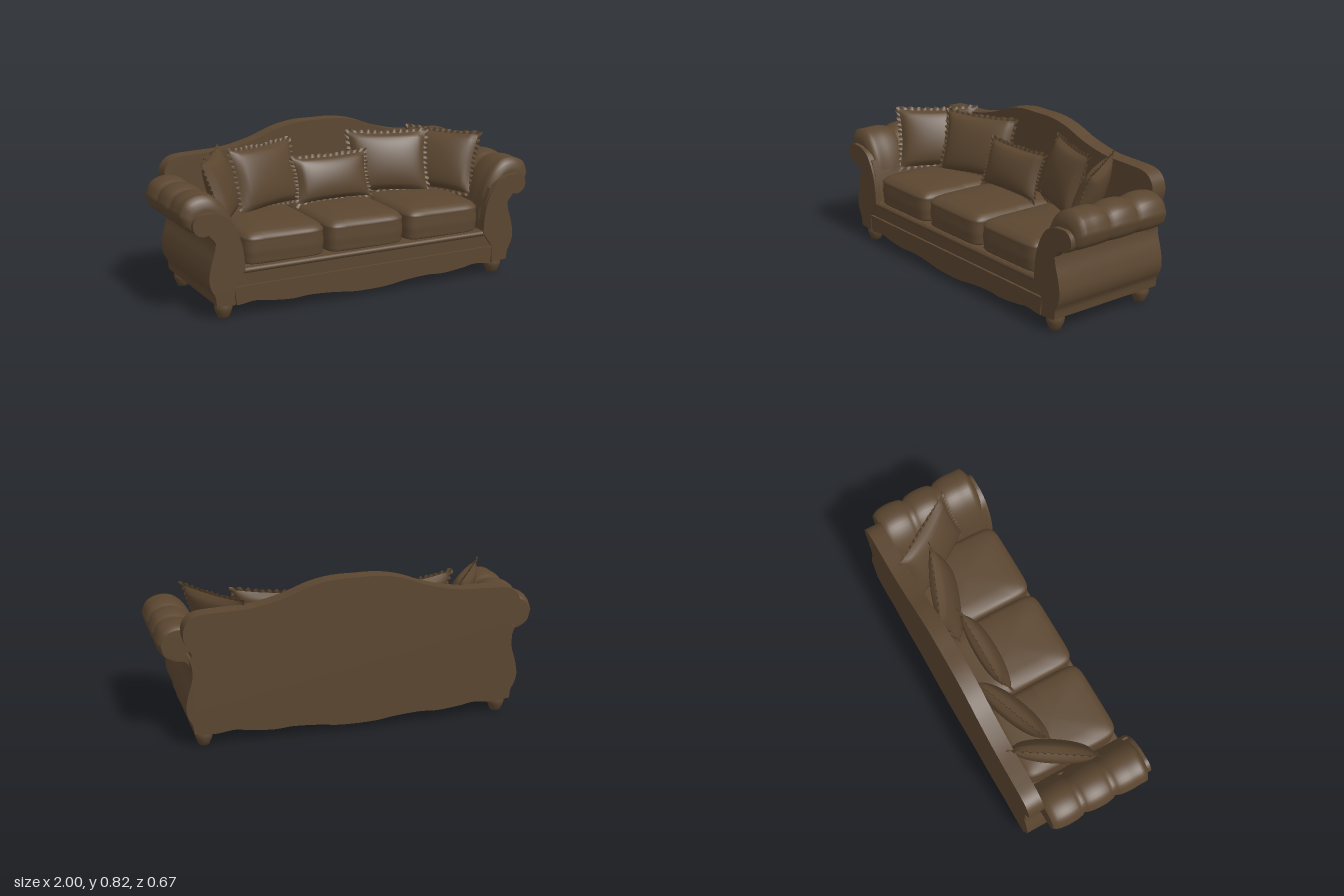
import * as THREE from 'three';
import { mergeVertices, toCreasedNormals } from 'three/addons/utils/BufferGeometryUtils.js';
import { ParametricGeometry } from 'three/addons/geometries/ParametricGeometry.js';

const fabric = new THREE.MeshStandardMaterial({ color: 0x5b4630, side: THREE.DoubleSide });
fabric.name = 'brown fabric';

const V2 = (p) => new THREE.Vector2(p[0], p[1]);

function add(parent, name, geometry) {
  const mesh = new THREE.Mesh(geometry, fabric);
  mesh.name = name;
  parent.add(mesh);
  return mesh;
}

// Smooth surface from a rule, with seams welded
function surface(rule, nu, nv) {
  const g = new ParametricGeometry(rule, nu, nv);
  g.deleteAttribute('uv');
  g.deleteAttribute('normal');
  const welded = mergeVertices(g, 1e-5);
  welded.computeVertexNormals();
  return welded;
}

// Flat shape pushed from z0 to z1, soft along its curves and sharp at its rims
function slab(shape, z0, z1) {
  const g = new THREE.ExtrudeGeometry(shape, { depth: z1 - z0, bevelEnabled: false, curveSegments: 10 });
  g.translate(0, 0, z0);
  return toCreasedNormals(g, 0.6);
}

const spline = (pts, n = 30) => new THREE.SplineCurve(pts.map(V2)).getPoints(n);
const mirrored = (pts) => pts.map((p) => new THREE.Vector2(-p.x, p.y)).reverse();

// Scalloped lower edge (centre to right) and the curved outer side (bottom to top)
const hem = spline([[0, 0.035], [0.1, 0.038], [0.21, 0.052], [0.34, 0.06], [0.44, 0.055],
  [0.56, 0.066], [0.64, 0.078], [0.74, 0.068], [0.84, 0.078]], 40);
const flank = spline([[0.845, 0.08], [0.85, 0.125], [0.872, 0.17], [0.88, 0.22], [0.868, 0.29],
  [0.847, 0.36], [0.842, 0.42], [0.86, 0.48]]);

function bodyShape() {
  const inner = [[0.74, 0.48], [0.71, 0.4], [0.695, 0.25]].map(V2);
  const half = [...hem, ...flank, ...inner];
  return new THREE.Shape([...half, ...mirrored(half).slice(0, -1)]);
}

function apronShape() {
  const half = [...hem.filter((p) => p.x < 0.76), V2([0.75, 0.16])];
  return new THREE.Shape([...half, ...mirrored(half).slice(0, -1)]);
}

// Camel-shaped back with rounded shoulders; inset makes the inner border
function backPoints(inset) {
  const top = spline([[0.845, 0.505], [0.868, 0.54], [0.882, 0.6], [0.865, 0.66], [0.81, 0.695], [0.7, 0.703],
    [0.54, 0.71], [0.38, 0.745], [0.24, 0.795], [0.12, 0.818], [0, 0.82]], 50);
  const half = [V2([0.84, 0.2]), ...top].map((p) => new THREE.Vector2(p.x * (1 - inset), p.y - inset * 0.8));
  return [...half, ...mirrored(half).slice(1)];
}

// Front face of an arm, ending in a scroll
function armFrontShape(side) {
  const scroll = [];
  for (let i = 0; i <= 16; i++) {
    const a = -2.0 + i * (Math.PI / 16) * 1.2;
    scroll.push(new THREE.Vector2(0.9 + 0.055 * Math.cos(a), 0.49 + 0.055 * Math.sin(a)));
  }
  const inner = spline([[0.84, 0.542], [0.775, 0.51], [0.725, 0.43], [0.7, 0.34], [0.692, 0.24]], 16);
  const pts = [V2([0.75, 0.07]), V2([0.845, 0.078]), ...flank.slice(1, 25), ...scroll, ...inner, V2([0.75, 0.16])];
  return new THREE.Shape(pts.map((p) => new THREE.Vector2(p.x * side, p.y)));
}

// Padded arm roll: one section swept along z, swelling in three lobes
function armRoll(side) {
  const section = new THREE.SplineCurve([[1, 0.535], [0.972, 0.598], [0.905, 0.627], [0.83, 0.615], [0.765, 0.55],
    [0.72, 0.44], [0.70, 0.28], [0.79, 0.28], [0.85, 0.42], [0.92, 0.44], [0.98, 0.472], [1, 0.535]].map(V2));
  const rows = [[-0.25, 0], [-0.25, 0.5], [-0.25, 0.84]];
  for (let i = 0; i <= 30; i++) {
    const t = i / 30;
    rows.push([-0.248 + t * 0.53, 0.86 + 0.14 * Math.sqrt(Math.abs(Math.sin(Math.PI * 3 * Math.min(t, 0.9))))]);
  }
  rows.push([0.297, 0.86], [0.307, 0.76], [0.312, 0.6], [0.312, 0]);
  return surface((u, v, out) => {
    const p = section.getPoint(side > 0 ? u : 1 - u);
    const [z, s] = rows[Math.round(v * (rows.length - 1))];
    const y = p.y < 0.46 ? 0.46 + (p.y - 0.46) * Math.min(1, s * 1.16) : 0.46 + (p.y - 0.46) * s;
    out.set(side * (0.86 + (p.x - 0.86) * s), y, z);
  }, 44, rows.length - 1);
}

// Box cushion with piping on both edges and a crowned top
function seatCushion(w, d) {
  const rows = [[0, 0.25], [0.9, 0.25], [0.975, 0.255], [0.995, 0.262], [0.985, 0.272], [1, 0.3], [1.005, 0.33],
    [0.99, 0.368], [1.0, 0.376], [0.995, 0.386], [0.975, 0.39], [0.94, 0.402], [0.85, 0.413], [0.6, 0.422], [0, 0.427]];
  const bend = (c) => Math.sign(c) * Math.pow(Math.abs(c), 0.25);
  return surface((u, v, out) => {
    const a = u * Math.PI * 2;
    const [r, y] = rows[Math.round(v * (rows.length - 1))];
    out.set(r * bend(Math.cos(a)) * w / 2, y, -r * bend(Math.sin(a)) * d / 2);
  }, 64, rows.length - 1);
}

// Throw pillow: two puffed faces with pulled-in sides and a ruffled fringe
function pillow(w, h, t) {
  const group = new THREE.Group();
  const edge = (s, q, out) => out.set(
    s * w / 2 * (1 - 0.07 * (1 - q * q) * s * s),
    q * h / 2 * (1 - 0.07 * (1 - s * s) * q * q), 0);
  for (const face of [1, -1]) {
    add(group, face > 0 ? 'pillowFront' : 'pillowBack', surface((u, v, out) => {
      const s = (u * 2 - 1) * face, q = v * 2 - 1;
      edge(s, q, out);
      out.z = face * t / 2 * Math.pow(Math.max(0, (1 - s * s) * (1 - q * q)), 0.45);
    }, 18, 18));
  }
  add(group, 'pillowFringe', surface((u, v, out) => {
    const k = (u * 4) % 4, i = Math.floor(k), f = (k - i) * 2 - 1;
    const [s, q] = [[f, -1], [1, f], [-f, 1], [-1, -f]][i];
    edge(s, q, out);
    const reach = v * (0.018 + 0.004 * Math.sin(u * Math.PI * 74));
    out.x += reach * Math.sign(s) * Math.pow(Math.abs(s), 6);
    out.y += reach * Math.sign(q) * Math.pow(Math.abs(q), 6);
    out.z = v * 0.006 * Math.sin(u * Math.PI * 96);
  }, 240, 2));
  return group;
}

export function createModel() {
  const sofa = new THREE.Group();
  sofa.name = 'sofa';

  // Frame
  add(sofa, 'body', slab(bodyShape(), -0.335, 0.322));
  add(sofa, 'apron', slab(apronShape(), 0.32, 0.335));
  const rail = add(sofa, 'seatRail', new THREE.CylinderGeometry(0.015, 0.015, 1.4, 12));
  rail.rotation.z = Math.PI / 2;
  rail.position.set(0, 0.235, 0.318);

  // Back panel with a raised border
  add(sofa, 'back', slab(new THREE.Shape(backPoints(0)), -0.336, -0.26));
  const border = new THREE.Shape(backPoints(0));
  border.holes.push(new THREE.Path(backPoints(0.035).map((p) => new THREE.Vector2(p.x, Math.max(p.y, 0.22)))));
  add(sofa, 'backBorder', slab(border, -0.262, -0.25));

  // Arms and feet
  const footProfile = [[0, 0], [0.028, 0], [0.034, 0.02], [0.037, 0.022], [0.044, 0.042], [0.046, 0.056],
    [0.042, 0.07], [0.04, 0.09]].map(V2);
  for (const side of [1, -1]) {
    const label = side > 0 ? 'left' : 'right';
    add(sofa, label + 'ArmRoll', armRoll(side));
    add(sofa, label + 'ArmFront', slab(armFrontShape(side), 0.3, 0.335));
    for (const z of [0.28, -0.28]) {
      add(sofa, label + (z > 0 ? 'FrontFoot' : 'BackFoot'), new THREE.LatheGeometry(footProfile, 20))
        .position.set(side * 0.79, 0, z);
    }
  }

  // Seat cushions
  for (const i of [-1, 0, 1]) {
    add(sofa, 'seatCushion', seatCushion(0.45, 0.55)).position.set(i * 0.458, 0, 0.047);
  }

  // Throw pillows, turned towards the middle
  const place = (name, size, position, yaw, tilt) => {
    const p = pillow(...size);
    p.name = name;
    p.position.set(...position);
    p.rotation.set(-tilt, yaw, 0, 'YXZ');
    sofa.add(p);
  };
  place('centrePillow', [0.43, 0.24, 0.11], [0, 0.535, -0.09], 0, 0.3);
  for (const side of [1, -1]) {
    place('backPillow', [0.43, 0.33, 0.12], [side * 0.365, 0.575, -0.13], -side * 0.36, 0.28);
    place('armPillow', [0.43, 0.33, 0.12], [side * 0.645, 0.57, -0.06], -side * 1.0, 0.34);
  }
  return sofa;
}
